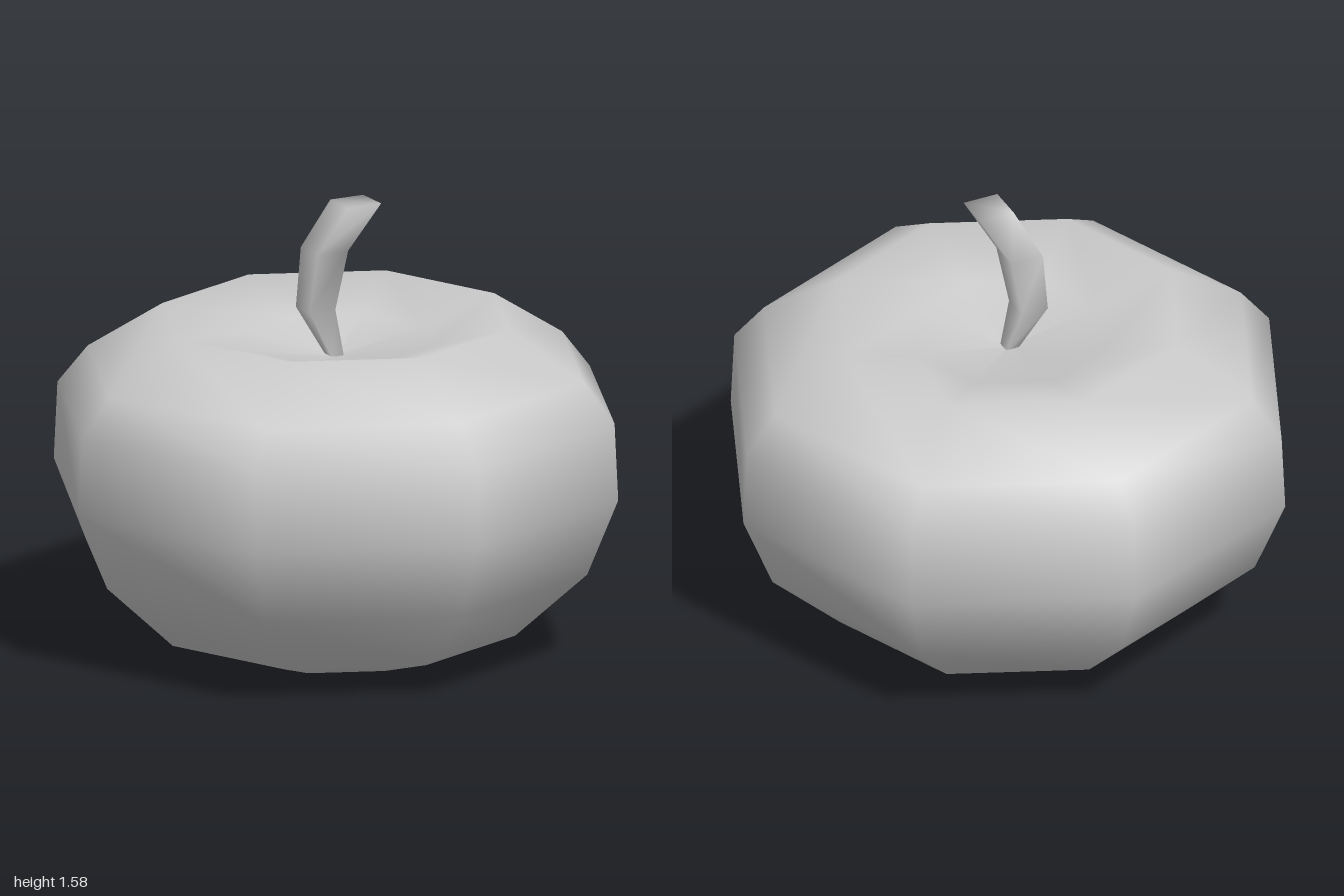
import * as THREE from 'three';

const material = new THREE.MeshStandardMaterial({ color: 0xcccccc });

// Eight-sided squat body with a dimple on top
function makeBody() {
  const profile = [
    [0, 0], [0.345, 0], [0.635, 0.09], [0.89, 0.325], [1, 0.595],
    [0.987, 0.865], [0.88, 1.0], [0.615, 1.17], [0.34, 1.09], [0, 1.03],
  ].map(([r, y]) => new THREE.Vector2(r, y));
  const body = new THREE.Mesh(new THREE.LatheGeometry(profile, 8), material);
  body.name = 'body';
  return body;
}

// Four-sided bent stem lofted through diamond sections: x, y, z, radius
function makeStem() {
  const sections = [
    [0, 1.02, 0, 0.03],
    [-0.065, 1.2, 0.025, 0.07],
    [-0.035, 1.41, 0.02, 0.084],
    [0.07, 1.58, 0, 0.09],
  ];
  const sides = 4;
  const positions = [];
  const index = [];
  sections.forEach(([x, y, z, r], k) => {
    for (let i = 0; i < sides; i++) {
      const a = (i / sides) * Math.PI * 2;
      positions.push(x + r * Math.cos(a), y, z + r * Math.sin(a));
      if (k === 0) continue;
      const j = (i + 1) % sides;
      const lo = (k - 1) * sides;
      const hi = k * sides;
      index.push(lo + i, hi + i, lo + j, lo + j, hi + i, hi + j);
    }
  });
  // Flat top, smoothed together with the sides
  const top = (sections.length - 1) * sides;
  index.push(top, top + 2, top + 1, top, top + 3, top + 2);

  const geometry = new THREE.BufferGeometry();
  geometry.setAttribute('position', new THREE.Float32BufferAttribute(positions, 3));
  geometry.setIndex(index);
  geometry.computeVertexNormals();
  const stem = new THREE.Mesh(geometry, material);
  stem.name = 'stem';
  return stem;
}

export function createModel() {
  const group = new THREE.Group();
  group.name = 'pumpkin';
  group.add(makeBody(), makeStem());
  return group;
}
